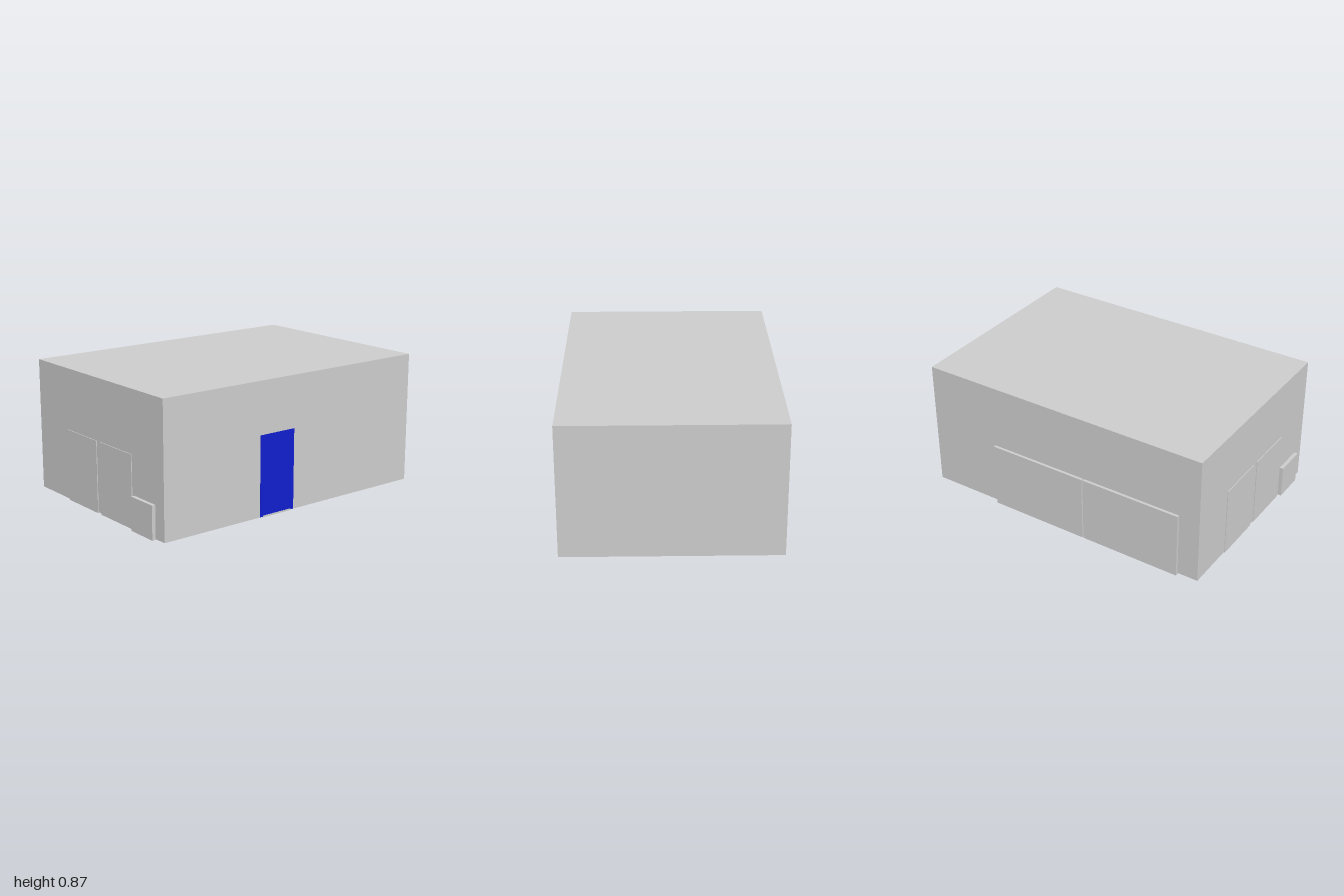
import * as THREE from 'three';

const grey = new THREE.MeshStandardMaterial({ color: 0xcccccc });
const blue = new THREE.MeshStandardMaterial({ color: 0x0f1ecc });

// Box given by its extents along each axis
function block(name, [x0, x1], [y0, y1], [z0, z1], material = grey) {
  const mesh = new THREE.Mesh(new THREE.BoxGeometry(x1 - x0, y1 - y0, z1 - z0), material);
  mesh.position.set((x0 + x1) / 2, (y0 + y1) / 2, (z0 + z1) / 2);
  mesh.name = name;
  return mesh;
}

export function createModel() {
  const room = new THREE.Group();
  room.name = 'room';

  // Closed room volume
  room.add(block('roomShell', [-0.67, 0.685], [0.012, 0.865], [-1, 0.976]));

  // Entrance door on the +x wall, with its low sill
  room.add(block('door', [0.66, 0.687], [0.013, 0.53], [-0.005, 0.262], blue));
  room.add(block('doorSill', [0.66, 0.688], [0.009, 0.02], [0.018, 0.24]));

  // Pair of tall cabinets set into the front wall
  for (const [x0, x1] of [[-0.34, -0.008], [0.033, 0.366]]) {
    room.add(block('frontCabinet', [x0, x1], [0.007, 0.47], [0.855, 0.981]));
  }

  // Low cabinet at the front corner
  room.add(block('lowCabinet', [0.385, 0.598], [0.007, 0.221], [0.873, 1]));

  // Pair of long cabinets along the -x wall
  for (const [z0, z1] of [[-0.52, 0.155], [0.163, 0.838]]) {
    room.add(block('sideCabinet', [-0.688, -0.57], [0.003, 0.443], [z0, z1]));
  }

  // Central rug and small rear box, both just below floor level
  room.add(block('rug', [-0.335, 0.312], [0, 0.02], [-0.545, 0.572]));
  room.add(block('rearBox', [-0.065, 0.115], [0.006, 0.15], [-0.934, -0.8]));

  // Three stool feet poking through the floor
  for (const [x, z] of [[0.607, -0.605], [0.52, -0.64], [0.485, -0.576]]) {
    const leg = new THREE.Mesh(new THREE.CylinderGeometry(0.007, 0.007, 0.2, 12), grey);
    leg.position.set(x, 0.108, z);
    leg.name = 'stoolLeg';
    room.add(leg);
  }
  return room;
}
